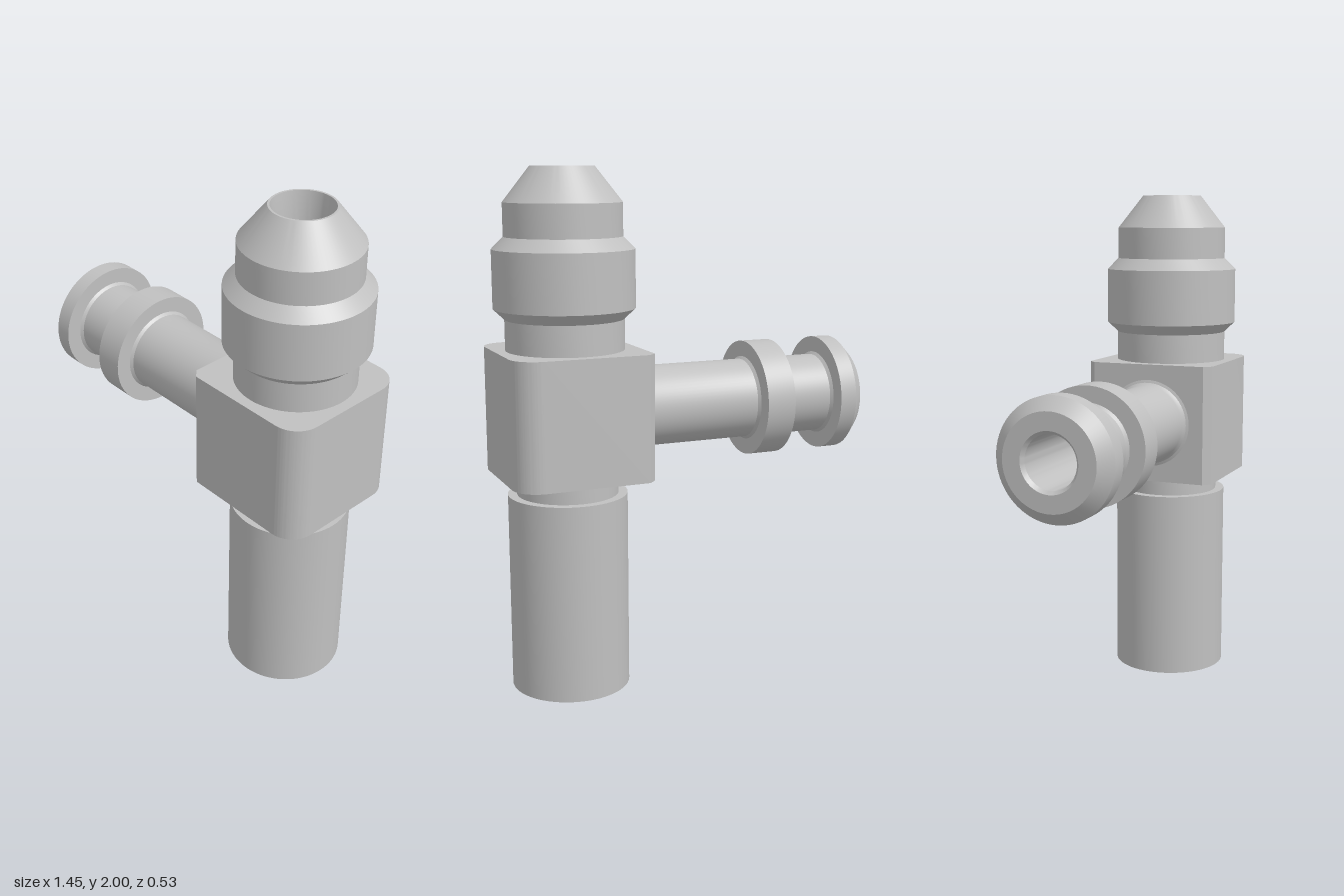
import * as THREE from 'three';
import { toCreasedNormals } from 'three/addons/utils/BufferGeometryUtils.js';

const AXIS_X = 0.457; // vertical run
const ARM_Y = 1.083;  // side branch height
const BORE = 0.1;

// Revolve a [radius, height] profile (outside upwards, bore downwards), keeping edges sharp.
function turned(profile) {
  const points = profile.map(([r, y]) => new THREE.Vector2(r, y));
  return toCreasedNormals(new THREE.LatheGeometry(points, 72), 0.5);
}

export function createModel() {
  const group = new THREE.Group();
  const steel = new THREE.MeshStandardMaterial({ color: 0xc0c0c0 });
  steel.name = 'steel grey';

  const add = (name, geometry, x, y) => {
    const mesh = new THREE.Mesh(geometry, steel);
    mesh.name = name;
    mesh.position.set(x, y, 0);
    group.add(mesh);
  };

  // Block: rounded on the outer corners, chamfered beside the branch, bored through
  const x0 = -0.267, x1 = 0.267, d = 0.267, r = 0.1, c = 0.03;
  const plan = new THREE.Shape();
  plan.moveTo(x0 + c, -d);
  plan.lineTo(x1 - r, -d);
  plan.absarc(x1 - r, -d + r, r, -Math.PI / 2, 0);
  plan.lineTo(x1, d - r);
  plan.absarc(x1 - r, d - r, r, 0, Math.PI / 2);
  plan.lineTo(x0 + c, d);
  plan.lineTo(x0, d - c);
  plan.lineTo(x0, -d + c);
  plan.closePath();
  plan.holes.push(new THREE.Path().absarc(0, 0, BORE, 0, Math.PI * 2, true));
  const block = new THREE.ExtrudeGeometry(plan, { depth: 0.482, bevelEnabled: false, curveSegments: 24 });
  block.rotateX(-Math.PI / 2);
  add('body block', toCreasedNormals(block, 0.5), AXIS_X, 0.842);

  // Upper end: neck, collar and cone nose
  add('upper cone fitting', turned([
    [BORE, 1.324], [0.225, 1.324], [0.225, 1.44], [0.267, 1.48], [0.267, 1.7],
    [0.222, 1.745], [0.222, 1.87], [0.12, 2], [0.112, 2], [BORE, 1.9], [BORE, 1.324],
  ]), AXIS_X, 0);

  // Lower end: sleeve with a deep annular recess around the inner tube
  add('lower sleeve', turned([
    [0.205, 0], [0.23, 0], [0.23, 0.768], [0.195, 0.768], [0.195, 0.842],
    [BORE, 0.842], [BORE, 0], [0.127, 0], [0.142, 0.05], [0.142, 0.55], [0.205, 0.55], [0.205, 0],
  ]), AXIS_X, 0);

  // Side branch: flared root, stop ring and chamfered end flange; height runs towards -x
  const arm = turned([
    [0.18, -0.2], [0.178, -0.19], [0.167, -0.186], [0.16, -0.178], [0.157, -0.165],
    [0.157, 0.28], [0.167, 0.29], [0.229, 0.29], [0.229, 0.408], [0.167, 0.408], [0.157, 0.418],
    [0.157, 0.604], [0.167, 0.614], [0.229, 0.614], [0.229, 0.682], [0.18, 0.73],
    [0.112, 0.73], [BORE, 0.715], [BORE, -0.2],
  ]);
  arm.rotateZ(Math.PI / 2);
  add('side branch', arm, 0, ARM_Y);

  return group;
}
